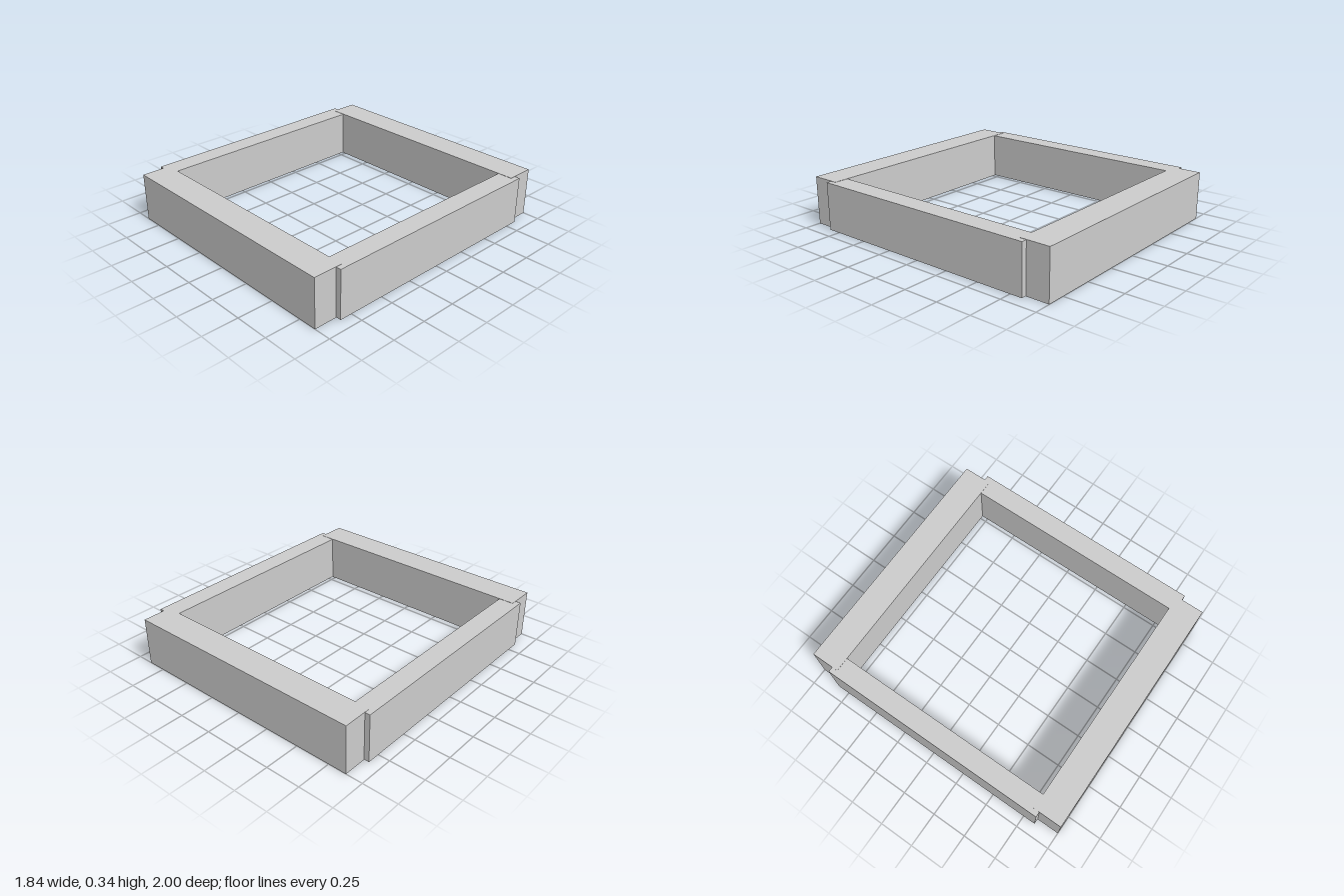
import * as THREE from 'three';

const HEIGHT = 0.343;

export function createModel() {
  const group = new THREE.Group();
  group.name = 'rectangularFrame';
  const material = new THREE.MeshStandardMaterial({ color: 0xcccccc, flatShading: true });

  const addBoard = (name, width, height, depth, x, z) => {
    const board = new THREE.Mesh(new THREE.BoxGeometry(width, height, depth), material);
    board.name = name;
    board.position.set(x, HEIGHT / 2, z);
    group.add(board);
  };

  for (const s of [1, -1]) {
    // Thick end boards, z 0.795 to 1
    addBoard(s > 0 ? 'frontBoard' : 'backBoard', 1.762, HEIGHT, 0.205, 0, s * 0.8975);
    // Thinner side boards, a hair lower, running into the end boards
    addBoard(s > 0 ? 'leftBoard' : 'rightBoard', 0.143, HEIGHT - 0.004, 1.676, s * 0.8465, 0);
  }
  return group;
}
